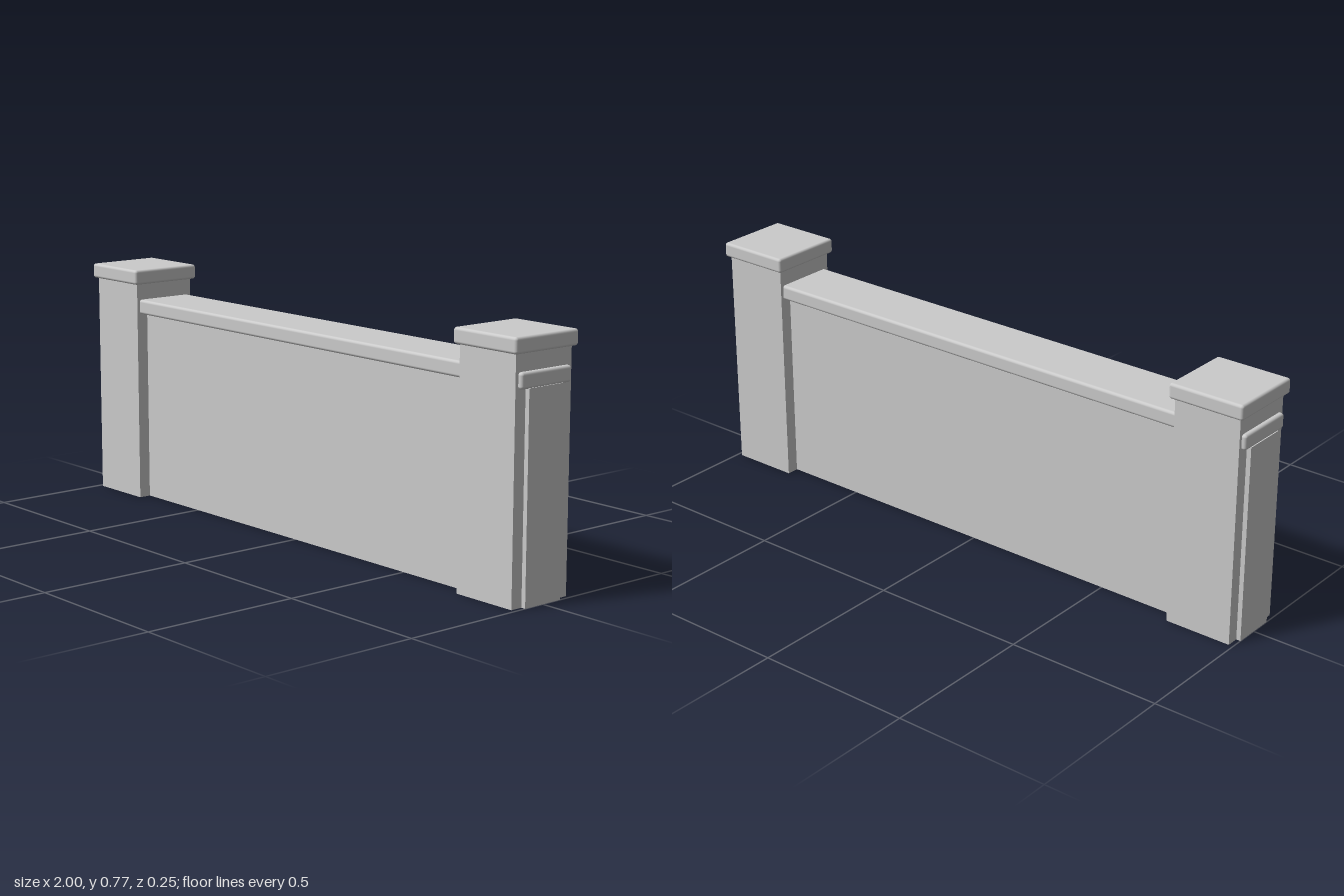
import * as THREE from 'three';
import { RoundedBoxGeometry } from 'three/addons/geometries/RoundedBoxGeometry.js';

export function createModel() {
  const group = new THREE.Group();
  const material = new THREE.MeshStandardMaterial({ color: 0xcccccc });

  // Adds a box standing on y = bottom; a radius rounds its edges
  function addBlock(name, width, height, depth, x, bottom, radius = 0) {
    const geometry = radius
      ? new RoundedBoxGeometry(width, height, depth, 3, radius)
      : new THREE.BoxGeometry(width, height, depth);
    const mesh = new THREE.Mesh(geometry, material);
    mesh.name = name;
    mesh.position.set(x, bottom + height / 2, 0);
    group.add(mesh);
  }

  // Wall panel with its coping stone, both running through the pillars
  addBlock('wall', 2, 0.624, 0.14, 0, 0);
  addBlock('coping', 2, 0.048, 0.198, 0, 0.622, 0.009);

  // A capped pillar near each end
  for (const [side, sign] of [['left', 1], ['right', -1]]) {
    addBlock(side + 'Pillar', 0.219, 0.724, 0.219, sign * 0.876, 0);
    addBlock(side + 'PillarCap', 0.248, 0.048, 0.248, sign * 0.876, 0.722, 0.009);
  }

  return group;
}
